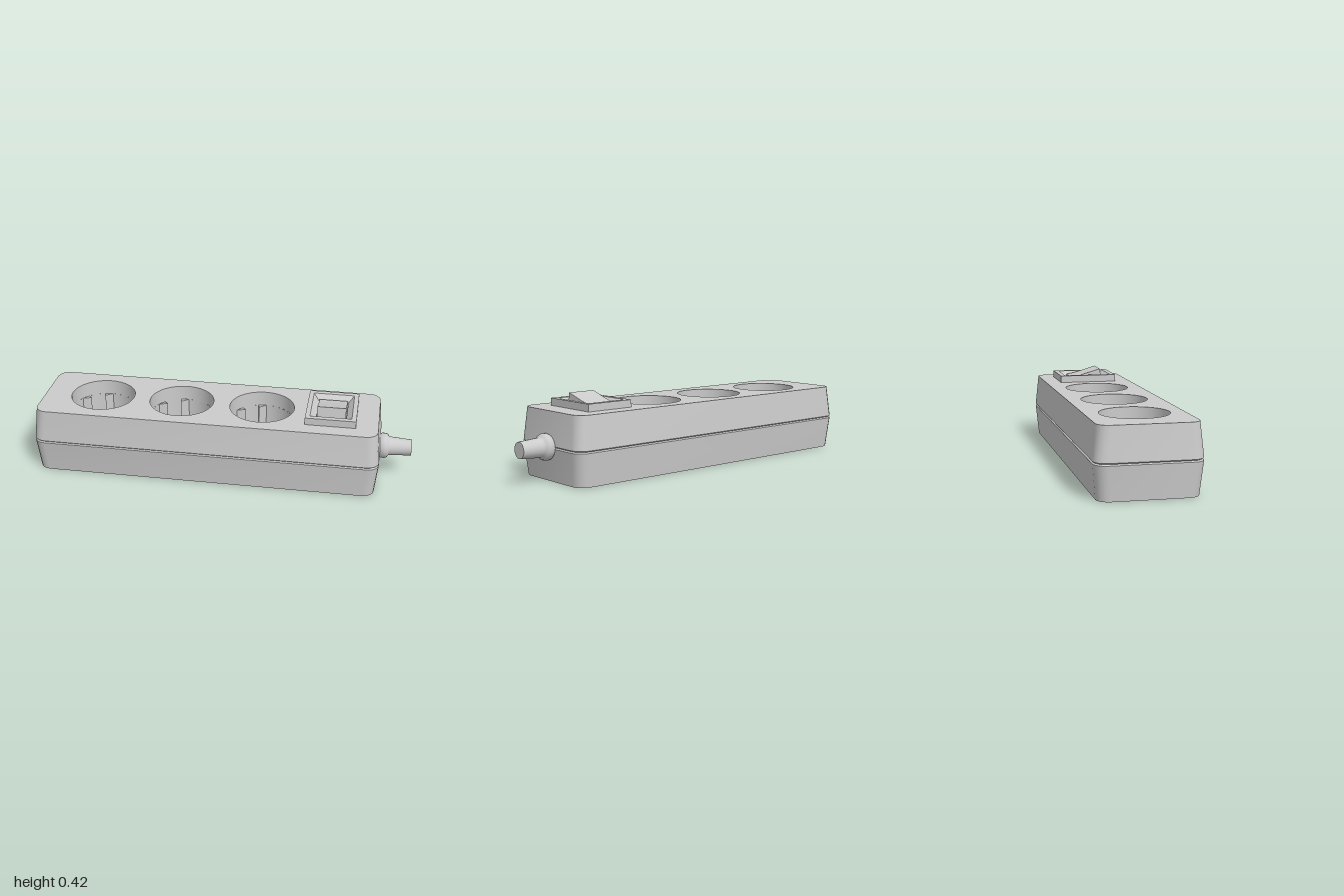
import * as THREE from 'three';
import { toCreasedNormals } from 'three/addons/utils/BufferGeometryUtils.js';

const material = new THREE.MeshStandardMaterial({ color: 0xcccccc, side: THREE.DoubleSide });
const TOP = 0.35, SEAM = 0.175, FLOOR = 0.15, LEDGE = 0.27;
const SOCKET_R = 0.172, SOCKET_X = [-0.67, -0.235, 0.2];
const rad = THREE.MathUtils.degToRad;

function part(name, geometry, parent) {
  const mesh = new THREE.Mesh(geometry, material);
  mesh.name = name;
  parent.add(mesh);
  return mesh;
}

// Closed wall through rings; each ring is { y, pts: [[x, z], ...] } of equal count
function wall(rings, crease = 0.6) {
  const n = rings[0].pts.length, pos = [], idx = [];
  for (const { y, pts } of rings) for (const [x, z] of pts) pos.push(x, y, z);
  for (let r = 0; r < rings.length - 1; r++) {
    for (let i = 0; i < n; i++) {
      const a = r * n + i, b = r * n + (i + 1) % n;
      idx.push(a, a + n, b, b, a + n, b + n);
    }
  }
  const g = new THREE.BufferGeometry();
  g.setAttribute('position', new THREE.Float32BufferAttribute(pos, 3));
  g.setIndex(idx);
  return toCreasedNormals(g, crease);
}

// Horizontal face at height y
function flat(pts, y, holes = []) {
  const toVec = ([x, z]) => new THREE.Vector2(x, -z);
  const shape = new THREE.Shape(pts.map(toVec));
  for (const h of holes) shape.holes.push(new THREE.Path(h.map(toVec)));
  return new THREE.ShapeGeometry(shape).rotateX(-Math.PI / 2).translate(0, y, 0);
}

const polar = (deg, r) => [r * Math.cos(rad(deg)), r * Math.sin(rad(deg))];

function circle(cx, r, n = 72) {
  return Array.from({ length: n }, (_, i) => {
    const [x, z] = polar(i * 360 / n, r);
    return [cx + x, z];
  });
}

// Rounded rectangle footprint of the housing, shrunk by inset
function footprint(inset) {
  const cx = -0.082, hx = 0.918 - inset, hz = 0.26 - inset, r = 0.06, pts = [];
  [[1, 1], [-1, 1], [-1, -1], [1, -1]].forEach(([sx, sz], q) => {
    for (let i = 0; i <= 4; i++) {
      const [x, z] = polar(q * 90 + i * 22.5, r);
      pts.push([cx + sx * (hx - r) + x, sz * (hz - r) + z]);
    }
  });
  return pts;
}

function rect(cx, hx, hz) {
  return [[cx + hx, hz], [cx - hx, hz], [cx - hx, -hz], [cx + hx, -hz]];
}

// Socket well: round above, with two pairs of wedge-shaped keys below the ledge
function makeSocket() {
  const socket = new THREE.Group();
  socket.name = 'socket';
  const AXIS = 61, NEAR = 15.5, FAR = 30, inner = SOCKET_R - 0.025;
  const outline = [];
  for (const base of [AXIS, AXIS + 180]) {
    for (let a = -90; a <= -FAR; a += 10) outline.push(polar(base + a, SOCKET_R));
    outline.push(polar(base - NEAR, inner));
    for (const a of [-NEAR, -8, 0, 8, NEAR]) outline.push(polar(base + a, SOCKET_R));
    outline.push(polar(base + NEAR, inner));
    for (let a = FAR; a < 90; a += 10) outline.push(polar(base + a, SOCKET_R));
    for (const s of [-1, 1]) {
      part('keyTop', flat([polar(base + s * FAR, SOCKET_R), polar(base + s * NEAR, SOCKET_R),
        polar(base + s * NEAR, inner)], LEDGE), socket);
    }
  }
  const rim = circle(0, SOCKET_R);
  part('socketUpperWall', wall([{ y: LEDGE, pts: rim }, { y: TOP, pts: rim }]), socket);
  part('socketKeyedWall', wall([{ y: FLOOR, pts: outline }, { y: LEDGE, pts: outline }], 0.3), socket);
  part('socketFloor', flat(outline, FLOOR), socket);
  return socket;
}

function makeSwitch() {
  const group = new THREE.Group();
  group.name = 'powerSwitch';
  const cx = 0.573;
  // Frame with a sloped inner edge
  part('switchFrame', wall([
    { y: TOP, pts: rect(cx, 0.132, 0.16) },
    { y: 0.388, pts: rect(cx, 0.132, 0.16) },
    { y: 0.388, pts: rect(cx, 0.108, 0.132) },
    { y: 0.36, pts: rect(cx, 0.078, 0.095) },
    { y: TOP, pts: rect(cx, 0.078, 0.095) },
  ], 0.3), group);
  // Tilted rocker, raised at the front; profile as [z, y]
  const profile = [[0.09, TOP], [0.08, 0.418], [-0.02, 0.388], [-0.06, 0.378], [-0.092, 0.373], [-0.092, TOP]];
  const shape = new THREE.Shape(profile.map(([z, y]) => new THREE.Vector2(-z, y)));
  const rocker = new THREE.ExtrudeGeometry(shape, { depth: 0.15, bevelEnabled: false });
  rocker.rotateY(Math.PI / 2).translate(cx - 0.075, 0, 0);
  part('rocker', toCreasedNormals(rocker, 0.3), group);
  return group;
}

export function createModel() {
  const model = new THREE.Group();
  model.name = 'powerStrip';

  // Housing: open underneath, widest at the grooved seam
  const housing = new THREE.Group();
  housing.name = 'housing';
  model.add(housing);
  const ring = (y, inset) => ({ y, pts: footprint(inset) });
  part('lowerShell', wall([ring(0, 0.016), ring(SEAM - 0.006, 0)]), housing);
  part('seam', wall([ring(SEAM - 0.006, 0), ring(SEAM, 0.006), ring(SEAM + 0.006, 0)]), housing);
  part('upperShell', wall([ring(SEAM + 0.006, 0), ring(TOP, 0.016)]), housing);
  part('topPlate', flat(footprint(0.016), TOP, SOCKET_X.map((x) => circle(x, SOCKET_R))), housing);

  for (const x of SOCKET_X) {
    const socket = makeSocket();
    socket.position.x = x;
    model.add(socket);
  }

  model.add(makeSwitch());

  // Cable gland: rounded collar and tapered sleeve, profile as [radius, x]
  const gland = [[0.05, 0.815], [0.06, 0.832], [0.067, 0.842], [0.067, 0.862], [0.062, 0.874],
    [0.052, 0.88], [0.05, 0.885], [0.042, 1], [0, 1]];
  const lathe = new THREE.LatheGeometry(gland.map(([r, x]) => new THREE.Vector2(r, x)), 20);
  lathe.rotateZ(-Math.PI / 2).translate(0, SEAM, 0);
  part('cableGland', toCreasedNormals(lathe, 0.7), model);

  return model;
}
